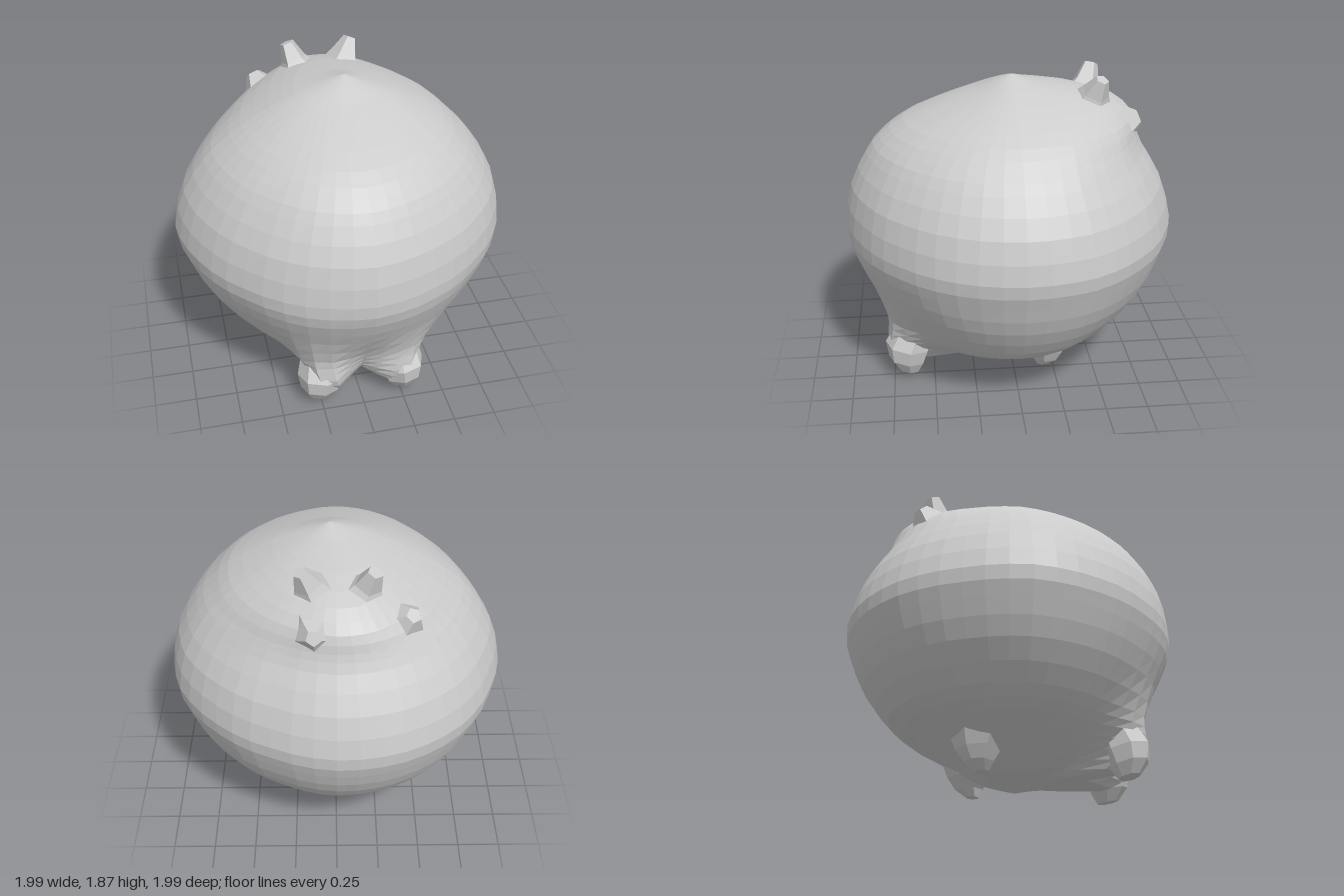
import * as THREE from 'three';

const material = new THREE.MeshStandardMaterial({ color: 0xcccccc, flatShading: true });
const { clamp, lerp } = THREE.MathUtils;

// Skin a stack of equally sized closed rings of Vector3
function skin(name, rings) {
  const n = rings[0].length, index = [];
  for (let r = 0; r < rings.length - 1; r++) {
    for (let i = 0; i < n; i++) {
      const j = (i + 1) % n, a = r * n + i, b = r * n + j;
      index.push(a, b, b + n, a, b + n, a + n);
    }
  }
  const geometry = new THREE.BufferGeometry().setFromPoints(rings.flat());
  geometry.setIndex(index);
  geometry.computeVertexNormals();
  const mesh = new THREE.Mesh(geometry, material);
  mesh.name = name;
  return mesh;
}

// Height, reach towards -x, +x, front and back, then swelling over the front feet
const PROFILE = [
  [0.00, 0.00, 0.00, 0.00, 0.00, 0.00],
  [0.05, 0.13, 0.13, 0.17, 0.15, 0.06],
  [0.10, 0.25, 0.26, 0.41, 0.23, 0.30],
  [0.20, 0.43, 0.46, 0.60, 0.38, 0.24],
  [0.30, 0.60, 0.63, 0.68, 0.55, 0.16],
  [0.40, 0.72, 0.74, 0.74, 0.72, 0.09],
  [0.60, 0.87, 0.87, 0.87, 0.88, 0.02],
  [0.80, 0.96, 0.95, 0.97, 0.97, 0.01],
  [0.96, 1.00, 0.99, 1.00, 1.00, 0.00],
  [1.20, 0.93, 0.94, 0.96, 0.93, 0.00],
  [1.40, 0.80, 0.82, 0.86, 0.81, 0.00],
  [1.50, 0.70, 0.73, 0.78, 0.77, 0.00],
  [1.60, 0.57, 0.62, 0.64, 0.74, 0.00],
  [1.70, 0.40, 0.44, 0.40, 0.63, 0.00],
  [1.77, 0.25, 0.28, 0.21, 0.41, 0.00],
  [1.82, 0.12, 0.12, 0.10, 0.14, 0.00],
  [1.86, 0.00, 0.00, 0.00, 0.00, 0.00],
];

// Uneven outline seen from above, from the front round through +x
const OUTLINE = [1, 0.97, 0.965, 0.985, 1, 1, 0.97, 0.96, 0.99, 1, 1, 0.985, 1, 0.975, 0.965, 0.985];

// Round body that closes to a point above and below
function makeBody() {
  const rings = [], sides = 48, steps = 2;
  for (let k = 0; k <= (PROFILE.length - 1) * steps; k++) {
    const i = Math.min(Math.floor(k / steps), PROFILE.length - 2), t = k / steps - i;
    const at = (c) => {
      const p = (q) => PROFILE[clamp(q, 0, PROFILE.length - 1)][c];
      const a = p(i - 1), b = p(i), d = p(i + 1), e = p(i + 2);
      return b + 0.5 * t * (d - a + t * (2 * a - 5 * b + 4 * d - e + t * (3 * (b - d) + e - a)));
    };
    const [y, left, right, front, back, swell] = [0, 1, 2, 3, 4, 5].map(at);
    // The two points sit slightly off the axis
    const shiftX = 0.035 * clamp((y - 1.77) / 0.09, 0, 1);
    const shiftZ = 0.04 * clamp(1 - y / 0.12, 0, 1);
    const ring = [];
    for (let s = 0; s < sides; s++) {
      const a = (s / sides) * Math.PI * 2, sx = Math.sin(a), cz = Math.cos(a);
      const o = (s / sides) * OUTLINE.length, f = Math.floor(o);
      const outline = lerp(OUTLINE[f], OUTLINE[(f + 1) % OUTLINE.length], o - f);
      // Two lobes that run down into the front feet
      const turn = Math.min(a, Math.PI * 2 - a);
      const lobe = swell * Math.exp(-(((turn - 0.36) / 0.26) ** 2));
      ring.push(new THREE.Vector3(
        sx * ((sx > 0 ? right : left) * outline + lobe) + shiftX, y,
        cz * ((cz > 0 ? front : back) * outline + lobe) + shiftZ));
    }
    rings.push(ring);
  }
  return skin('body', rings);
}

// Tapered stub through [x, y, z, radius] stations, closed at its far end
function stub(name, stations, sides) {
  const points = stations.map(([x, y, z]) => new THREE.Vector3(x, y, z));
  const last = points[points.length - 1];
  const turn = new THREE.Quaternion().setFromUnitVectors(
    new THREE.Vector3(0, 1, 0), last.clone().sub(points[0]).normalize());
  const rings = stations.map(([, , , radius], r) => Array.from({ length: sides }, (_, s) => {
    const a = ((s + 0.5) / sides) * Math.PI * 2;
    return new THREE.Vector3(Math.sin(a) * radius, 0, Math.cos(a) * radius)
      .applyQuaternion(turn).add(points[r]);
  }));
  rings.push(Array.from({ length: sides }, () => last.clone()));
  return skin(name, rings);
}

export function createModel() {
  const group = new THREE.Group();
  group.name = 'bulb';
  group.add(makeBody());

  // Feet: tips of the front lobes, and broad low nubs at the rear
  for (const [side, m] of [['Left', 1], ['Right', -1]]) {
    group.add(stub('frontFoot' + side, [
      [m * 0.24, 0.36, 0.60, 0.11],
      [m * 0.25, 0.21, 0.66, 0.14],
      [m * 0.26, 0.12, 0.67, 0.115],
      [m * 0.265, 0.045, 0.66, 0.065],
    ], 7));
    group.add(stub('rearFoot' + side, [
      [m * 0.25, 0.28, -0.18, 0.20],
      [m * 0.26, 0.16, -0.20, 0.135],
      [m * 0.27, 0.09, -0.20, 0.085],
      [m * 0.26, 0.04, -0.18, 0.04],
    ], 7));
  }

  // Four small nubs around the upper back
  group.add(stub('topNubRight', [
    [-0.14, 1.66, -0.46, 0.15], [-0.17, 1.75, -0.48, 0.08], [-0.205, 1.85, -0.51, 0.045],
  ], 5));
  group.add(stub('topNubLeft', [
    [0.11, 1.66, -0.45, 0.15], [0.15, 1.76, -0.48, 0.085], [0.19, 1.85, -0.51, 0.04],
  ], 5));
  group.add(stub('backNubLeft', [
    [0.11, 1.53, -0.58, 0.19], [0.12, 1.58, -0.69, 0.10], [0.12, 1.60, -0.75, 0.045],
  ], 5));
  group.add(stub('backNubRight', [
    [-0.34, 1.48, -0.48, 0.18], [-0.38, 1.58, -0.55, 0.1], [-0.41, 1.63, -0.59, 0.045],
  ], 5));
  return group;
}
